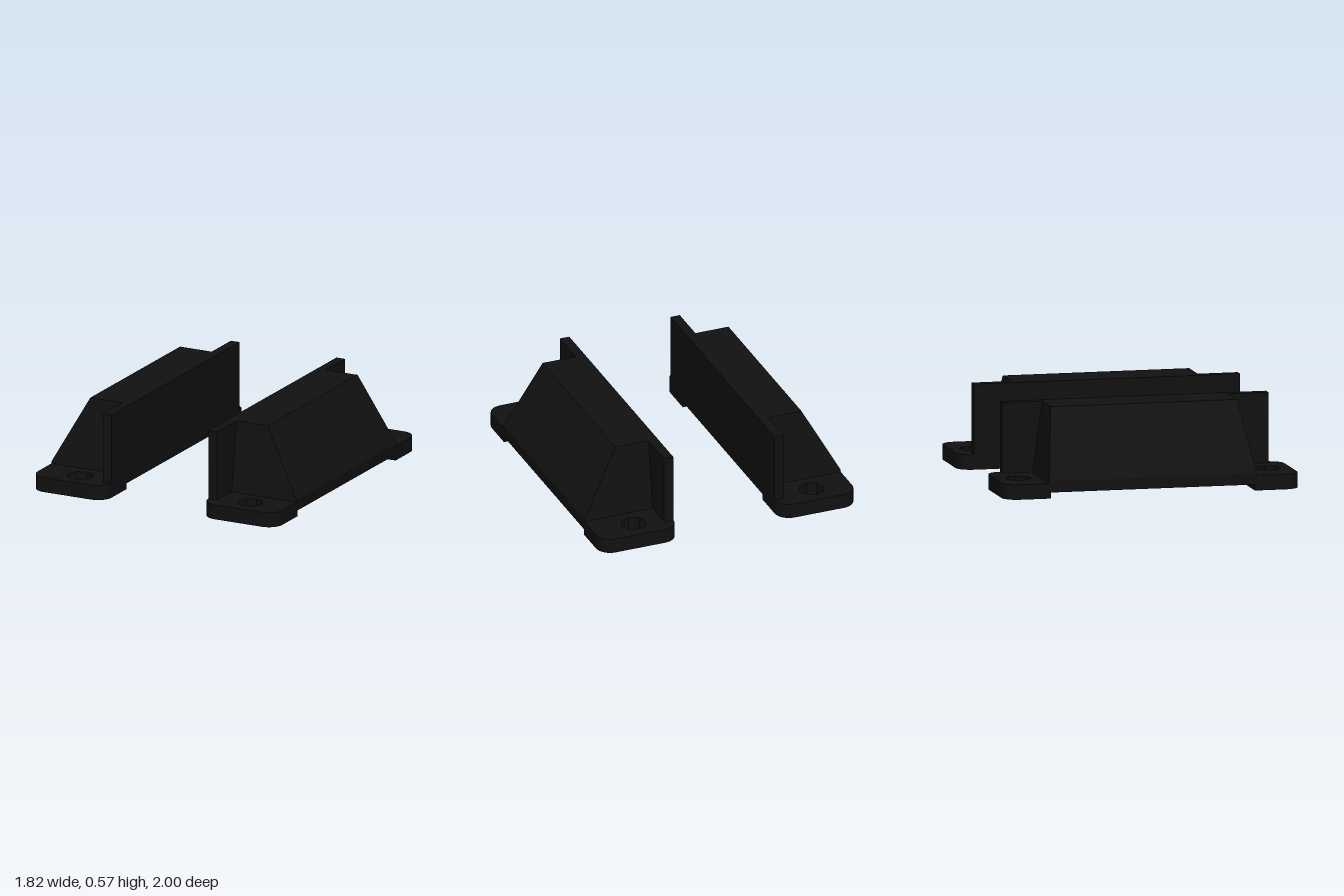
import * as THREE from 'three';

const WALL = 0.36, OUTER = 0.91, TOP = 0.57, FOOT_TOP = 0.1;
const material = new THREE.MeshStandardMaterial({ color: 0x111111, flatShading: true });

function part(name, geometry) {
  const mesh = new THREE.Mesh(geometry, material);
  mesh.name = name;
  return mesh;
}

// Flat mounting foot with two rounded end corners and an octagonal screw hole
function makeFoot(end, holeX) {
  const inner = 0.69, r = 0.1;
  const s = new THREE.Shape();
  s.moveTo(WALL, inner * end);
  s.lineTo(OUTER, inner * end);
  s.lineTo(OUTER, (1 - r) * end);
  s.absarc(OUTER - r, (1 - r) * end, r, 0, end * Math.PI / 2, end < 0);
  s.lineTo(WALL + r, end);
  s.absarc(WALL + r, (1 - r) * end, r, end * Math.PI / 2, end * Math.PI, end < 0);
  s.closePath();
  const hole = [];
  for (let i = 0; i < 8; i++) {
    const a = i * Math.PI / 4;
    hole.push(new THREE.Vector2(holeX + 0.087 * Math.cos(a), 0.847 * end + 0.087 * Math.sin(a)));
  }
  s.holes.push(new THREE.Path(hole));
  const g = new THREE.ExtrudeGeometry(s, { depth: FOOT_TOP, bevelEnabled: false, curveSegments: 4 });
  return g.rotateX(Math.PI / 2).translate(0, FOOT_TOP, 0);
}

// Solid wedge body whose end faces lean inward towards the top
function makeBody() {
  const s = new THREE.Shape([
    [WALL, 0.04], [OUTER, 0.04], [OUTER, 0.115], [0.66, TOP], [WALL, TOP],
  ].map(([x, y]) => new THREE.Vector2(x, y)));
  const g = new THREE.ExtrudeGeometry(s, { depth: 2, bevelEnabled: false }).translate(0, 0, -1);
  const p = g.attributes.position;
  for (let i = 0; i < p.count; i++) {
    const t = Math.max(0, (p.getY(i) - FOOT_TOP) / (TOP - FOOT_TOP));
    p.setZ(i, Math.sign(p.getZ(i)) * (0.705 - 0.075 * t));
  }
  g.computeVertexNormals();
  return g;
}

function makeRail(name) {
  const rail = new THREE.Group();
  rail.name = name;
  rail.add(part('body', makeBody()));
  // Thin upright fins extending the inner wall over each foot
  for (const end of [1, -1]) {
    const label = end > 0 ? 'front' : 'back';
    const fin = new THREE.BoxGeometry(0.065, TOP - 0.08, 0.3);
    fin.translate(WALL + 0.0325, (TOP + 0.08) / 2, 0.75 * end);
    rail.add(part(label + 'Fin', fin));
    rail.add(part(label + 'Foot', makeFoot(end, end > 0 ? 0.643 : 0.62)));
  }
  return rail;
}

export function createModel() {
  const model = new THREE.Group();
  model.name = 'bracketPair';
  const left = makeRail('leftRail');
  // The second rail is the first one turned half way round
  const right = makeRail('rightRail');
  right.rotation.y = Math.PI;
  model.add(left, right);
  return model;
}
